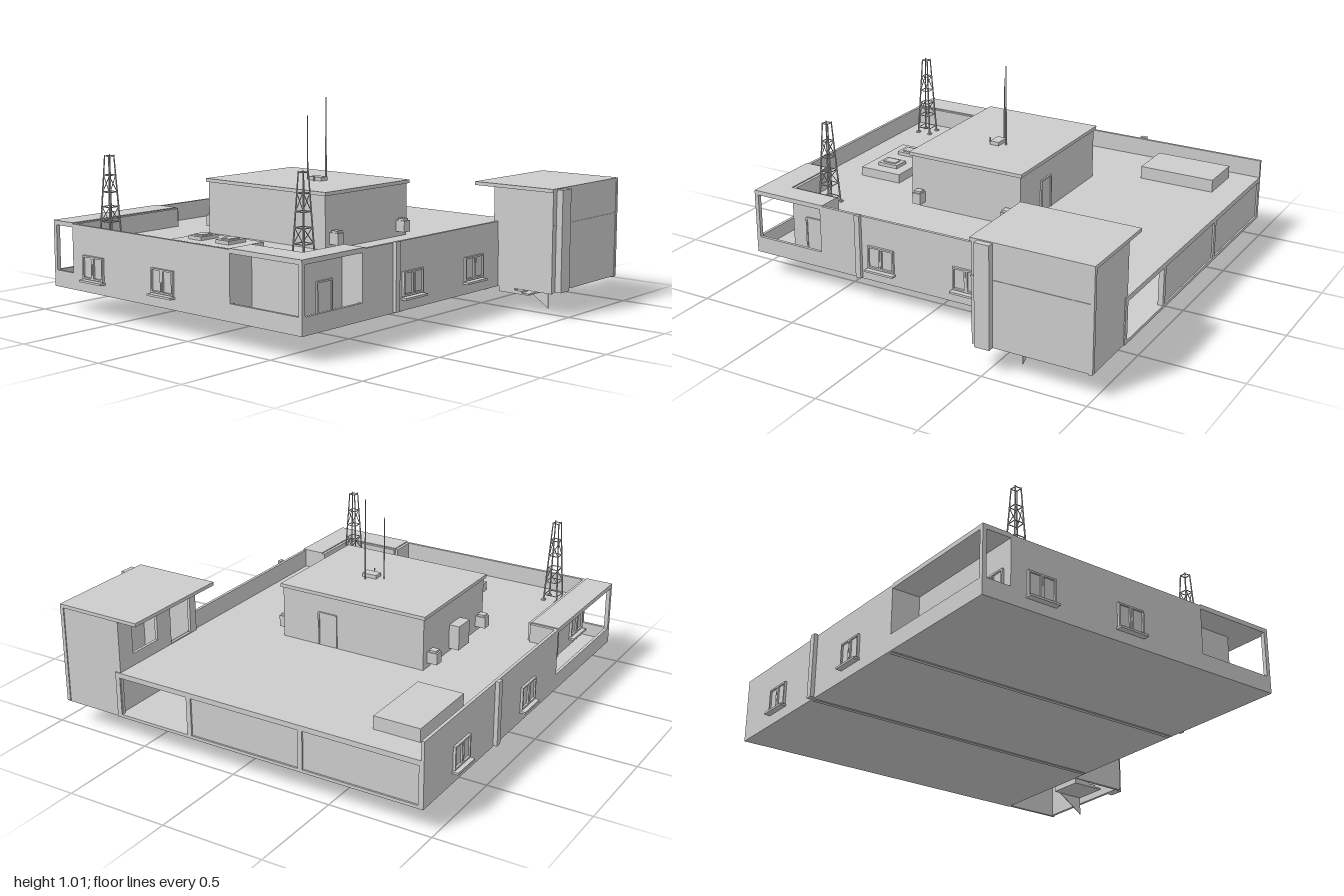
import * as THREE from 'three';

const grey = new THREE.MeshStandardMaterial({ color: 0xcccccc, flatShading: true, side: THREE.DoubleSide });

// Box from its extents
function box(parent, name, x0, x1, y0, y1, z0, z1) {
  const m = new THREE.Mesh(new THREE.BoxGeometry(x1 - x0, y1 - y0, z1 - z0), grey);
  m.position.set((x0 + x1) / 2, (y0 + y1) / 2, (z0 + z1) / 2);
  m.name = name;
  parent.add(m);
  return m;
}

// Round bar between two points
function bar(parent, name, a, b, r, r2 = r) {
  const p = new THREE.Vector3(...a), q = new THREE.Vector3(...b);
  const d = q.clone().sub(p);
  const m = new THREE.Mesh(new THREE.CylinderGeometry(r2, r, d.length(), 6), grey);
  m.position.copy(p).add(q).multiplyScalar(0.5);
  m.quaternion.setFromUnitVectors(new THREE.Vector3(0, 1, 0), d.normalize());
  m.name = name;
  parent.add(m);
}

// Flat slab extruded upwards from a plan outline of [x, z] points
function slab(parent, name, pts, y0, y1) {
  const s = new THREE.Shape(pts.map(([x, z]) => new THREE.Vector2(x, -z)));
  const g = new THREE.ExtrudeGeometry(s, { depth: y1 - y0, bevelEnabled: false });
  g.rotateX(-Math.PI / 2);
  const m = new THREE.Mesh(g, grey);
  m.position.y = y0;
  m.name = name;
  parent.add(m);
}

// Two-leaf window with sill, facing +z before turning
function windowUnit(parent, x, z, turn) {
  const g = new THREE.Group();
  g.name = 'window';
  for (const s of [-1, 1]) {
    const c = s * 0.036;
    box(g, 'pane', c - 0.03, c + 0.03, 0.19, 0.285, 0, 0.004);
    for (const e of [-1, 1]) box(g, 'windowFrame', c + e * 0.031 - 0.004, c + e * 0.031 + 0.004, 0.18, 0.292, 0, 0.012);
  }
  box(g, 'windowHead', -0.07, 0.07, 0.284, 0.292, 0, 0.012);
  box(g, 'windowFoot', -0.07, 0.07, 0.18, 0.188, 0, 0.012);
  box(g, 'windowSill', -0.077, 0.077, 0.166, 0.176, -0.005, 0.03);
  g.position.set(x, 0, z);
  g.rotation.y = turn;
  parent.add(g);
}

// Door leaf with surround, facing +z before turning
function door(parent, x, z, y, w, h, turn) {
  const g = new THREE.Group();
  g.name = 'door';
  box(g, 'doorLeaf', -w / 2, w / 2, 0, h, 0, 0.003);
  for (const s of [-1, 1]) box(g, 'doorJamb', s * w / 2 - 0.004, s * w / 2 + 0.004, 0, h, 0, 0.008);
  box(g, 'doorHead', -w / 2, w / 2, h - 0.004, h + 0.004, 0, 0.008);
  g.position.set(x, y, z);
  g.rotation.y = turn;
  parent.add(g);
}

// Tapered four-legged lattice mast
function latticeMast(parent, x, z) {
  const g = new THREE.Group();
  g.name = 'latticeMast';
  const corners = [[1, 1], [-1, 1], [-1, -1], [1, -1]];
  const half = (y) => 0.036 - 0.021 * (y - 0.34) / 0.415;
  const at = (i, y) => [corners[i % 4][0] * half(y), y, corners[i % 4][1] * half(y)];
  const levels = [0.37, 0.44, 0.51, 0.58, 0.66, 0.75];
  for (let i = 0; i < 4; i++) {
    bar(g, 'mastLeg', at(i, 0.34), at(i, 0.755), 0.0045, 0.003);
    const f = at(i, 0.34);
    box(g, 'mastFoot', f[0] - 0.009, f[0] + 0.009, 0.335, 0.347, f[2] - 0.009, f[2] + 0.009);
    levels.forEach((y, k) => {
      bar(g, 'mastRung', at(i, y), at(i + 1, y), 0.0025);
      if (k % 2 && k < 5) bar(g, 'mastBrace', at(i, y), at(i + 1, levels[k + 1]), 0.002);
    });
  }
  g.position.set(x, 0, z);
  parent.add(g);
}

export function createModel() {
  const root = new THREE.Group();
  const L = -0.965, B = -0.957, F = 0.647, t = 0.015;

  // Floor, underside joints and roof deck
  box(root, 'floorSlab', L, 1, 0.115, 0.13, B, F);
  for (const x of [0.345, -0.3]) box(root, 'floorJoint', x - 0.01, x + 0.01, 0.11, 0.115, B + 0.01, F - 0.01);
  slab(root, 'roofDeck', [[L, -0.818], [-0.305, -0.818], [-0.305, B], [1, B], [1, F], [-0.567, F],
    [-0.567, 0.53], [-0.83, 0.53], [-0.83, 0.23], [L, 0.23]], 0.315, 0.34);

  // Outer walls rising into parapets
  box(root, 'frontWall', -0.567, 0.42, 0.12, 0.43, F - t, F);
  box(root, 'frontWallBehindTower', 0.42, 1, 0.12, 0.34, F - t, F);
  box(root, 'backWall', -0.305, 1, 0.12, 0.43, B, B + t);
  box(root, 'leftWall', L, L + t, 0.12, 0.43, -0.818, 0.23);
  box(root, 'balconyWall', L, -0.305, 0.12, 0.43, -0.818, -0.818 + t);
  box(root, 'balconyWall', -0.305, -0.305 + t, 0.12, 0.43, B, -0.818);
  box(root, 'balconyWall', L, -0.83, 0.12, 0.43, 0.23 - t, 0.23);
  box(root, 'balconyWall', -0.83, -0.83 + t, 0.12, 0.43, 0.23, 0.53);
  box(root, 'balconyWall', -0.83, -0.567, 0.12, 0.43, 0.53 - t, 0.53);
  box(root, 'balconyWall', -0.567 - t, -0.567, 0.12, 0.43, 0.53, F);

  // Side facade: piers, two filled bays and one open bay
  for (const z of [0.635, 0.235, -0.355, -0.945]) box(root, 'pier', 0.975, 1, 0.12, 0.32, z - 0.012, z + 0.012);
  box(root, 'sidePanel', 0.98, 0.992, 0.13, 0.315, -0.35, 0.235);
  box(root, 'sidePanel', 0.98, 0.992, 0.13, 0.315, -0.945, -0.35);

  // Balconies: cover, low rail wall and corner posts
  slab(root, 'frontBalconyCover', [[L, 0.23], [-0.83, 0.23], [-0.83, 0.53], [-0.567, 0.53], [-0.567, F], [L, F]], 0.413, 0.435);
  box(root, 'backBalconyCover', L, -0.305, 0.413, 0.435, B, -0.818);
  box(root, 'balconyRail', L, -0.567, 0.115, 0.195, F - t, F);
  box(root, 'balconyRail', L, L + t, 0.115, 0.195, 0.23, F);
  box(root, 'balconyRail', L, -0.305, 0.115, 0.195, B, B + t);
  box(root, 'balconyRail', L, L + t, 0.115, 0.195, B, -0.818);
  box(root, 'balconyPost', L, L + 0.02, 0.195, 0.415, F - 0.02, F);
  box(root, 'balconyPost', L, L + 0.02, 0.195, 0.415, B, B + 0.02);

  // Windows, balcony doors and wall pilasters
  for (const x of [-0.24, 0.22]) windowUnit(root, x, F, 0);
  for (const x of [0.02, 0.675]) windowUnit(root, x, B, Math.PI);
  for (const z of [-0.665, -0.19]) windowUnit(root, L, z, -Math.PI / 2);
  windowUnit(root, -0.85, -0.818, Math.PI);
  door(root, -0.58, -0.818, 0.13, 0.09, 0.17, Math.PI);
  door(root, -0.7, 0.53, 0.13, 0.095, 0.165, 0);
  box(root, 'pilaster', -0.375, -0.347, 0.12, 0.435, F, F + 0.018);
  box(root, 'pilaster', 0.33, 0.362, 0.12, 0.435, B - 0.02, B);

  // Penthouse
  const pent = new THREE.Group();
  pent.name = 'penthouse';
  root.add(pent);
  box(pent, 'penthouseBody', -0.34, 0.255, 0.34, 0.595, -0.54, 0.22);
  box(pent, 'penthouseRoof', -0.35, 0.265, 0.593, 0.61, -0.55, 0.23);
  door(pent, 0.255, -0.028, 0.345, 0.095, 0.16, Math.PI / 2);
  box(pent, 'rearCabinet', -0.1, 0.005, 0.355, 0.475, -0.592, -0.54);
  for (const x of [-0.288, 0.198]) {
    for (const [z0, z1] of [[0.22, 0.27], [-0.592, -0.54]]) {
      box(pent, 'wallUnit', x - 0.022, x + 0.022, 0.365, 0.42, z0, z1);
      box(pent, 'wallUnitHood', x - 0.018, x + 0.018, 0.42, 0.43, z0 + 0.008, z1 - 0.008);
    }
  }

  // Antennas on the penthouse roof
  box(pent, 'antennaBase', -0.064, -0.016, 0.61, 0.628, -0.128, -0.053);
  bar(pent, 'antenna', [0.007, 0.61, -0.083], [0.007, 1.01, -0.083], 0.005, 0.002);
  bar(pent, 'antenna', [-0.044, 0.61, -0.157], [-0.044, 0.92, -0.157], 0.004, 0.0015);
  bar(pent, 'antennaStub', [-0.08, 0.61, -0.083], [-0.08, 0.635, -0.083], 0.004);

  // Roof platforms and hatches
  box(root, 'roofPlatform', -0.77, -0.545, 0.34, 0.385, -0.35, 0.03);
  for (const z of [-0.252, -0.075]) {
    box(root, 'hatch', -0.71, -0.6, 0.385, 0.402, z - 0.042, z + 0.042);
    box(root, 'hatchLid', -0.69, -0.62, 0.402, 0.408, z - 0.025, z + 0.025);
  }
  box(root, 'roofPlatform', 0.48, 0.865, 0.34, 0.403, -0.865, -0.638);
  latticeMast(root, -0.835, -0.695);
  latticeMast(root, -0.695, 0.41);

  // Stair tower, open below, with doorways onto the roof
  const tower = new THREE.Group();
  tower.name = 'stairTower';
  root.add(tower);
  box(tower, 'towerFrontWall', 0.425, 0.998, 0.12, 0.595, 0.935, 0.95);
  for (const x of [0.425, 0.98]) box(tower, 'towerSideWall', x, x + t, 0.115, 0.595, 0.62, 0.95);
  box(tower, 'towerCornerStrip', 0.985, 1, 0.12, 0.6, 0.935, 0.953);
  box(tower, 'towerBand', 0.42, 1, 0.43, 0.438, 0.945, 0.953);
  box(tower, 'towerRoof', 0.417, 1, 0.593, 0.61, 0.512, 0.953);
  box(tower, 'towerPilaster', 0.455, 0.528, 0.12, 0.605, 0.945, 0.982);
  const back = new THREE.Shape([[0.425, 0.34], [0.995, 0.34], [0.995, 0.593], [0.425, 0.593]].map((p) => new THREE.Vector2(...p)));
  for (const [x0, x1, y0, y1] of [[0.47, 0.62, 0.345, 0.54], [0.72, 0.9, 0.4, 0.54]]) {
    back.holes.push(new THREE.Path([[x0, y0], [x0, y1], [x1, y1], [x1, y0]].map((p) => new THREE.Vector2(...p))));
  }
  const backWall = new THREE.Mesh(new THREE.ExtrudeGeometry(back, { depth: t, bevelEnabled: false }), grey);
  backWall.position.z = 0.62;
  backWall.name = 'towerBackWall';
  tower.add(backWall);

  // Entrance steps and their triangular side plate
  for (let i = 0; i < 4; i++) box(tower, 'step', 0.43, 0.6, 0.09 + i * 0.008, 0.098 + i * 0.008, 0.65, 0.82 - i * 0.04);
  const tri = new THREE.Shape([new THREE.Vector2(0.65, 0.115), new THREE.Vector2(0.82, 0), new THREE.Vector2(0.82, 0.115)]);
  const plate = new THREE.Mesh(new THREE.ExtrudeGeometry(tri, { depth: 0.004, bevelEnabled: false }), grey);
  plate.rotation.y = -Math.PI / 2;
  plate.position.x = 0.604;
  plate.name = 'stairSidePlate';
  tower.add(plate);
  return root;
}
